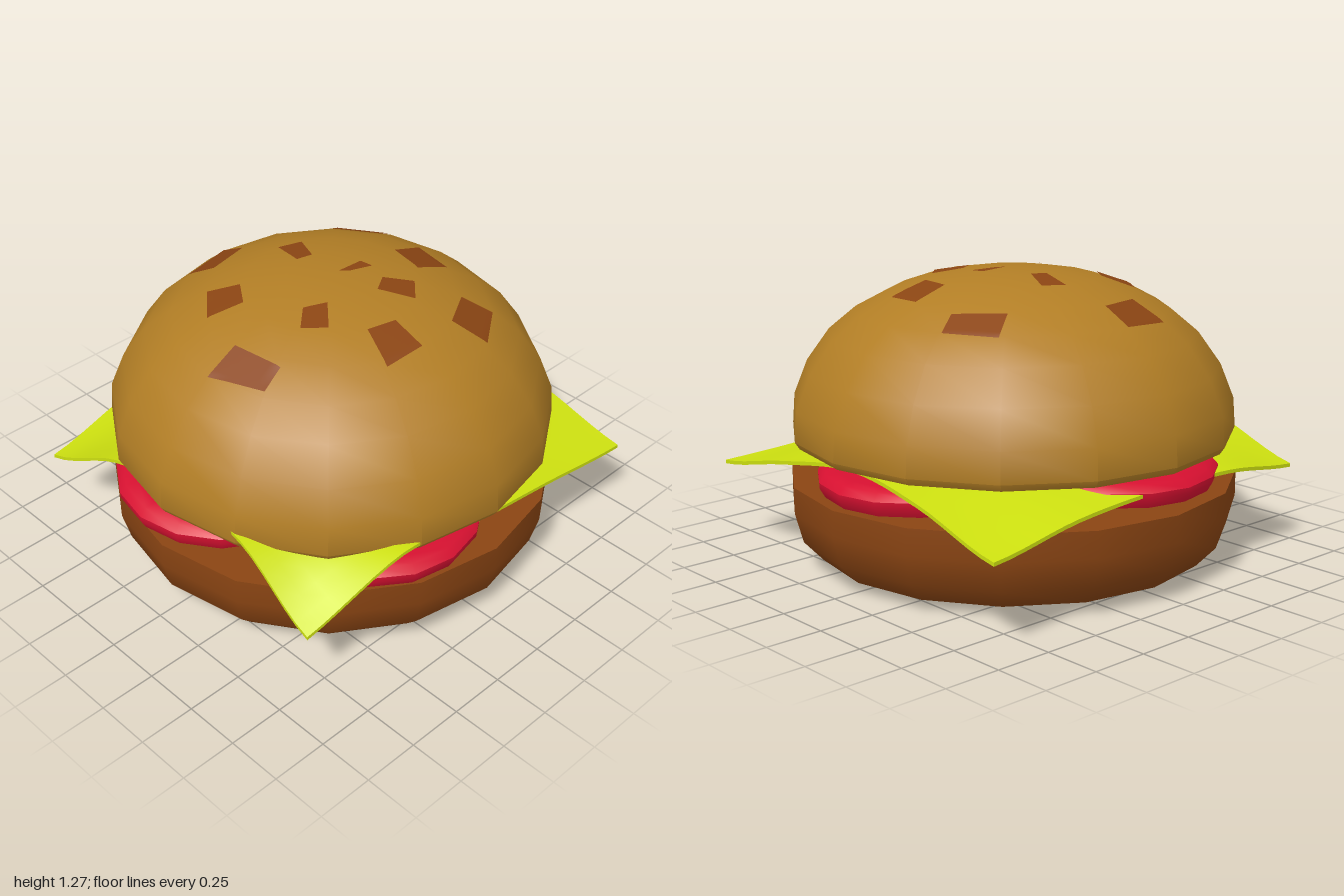
import * as THREE from 'three';
import { toCreasedNormals } from 'three/addons/utils/BufferGeometryUtils.js';

const SIDES = 16;
const CENTER_Z = -0.02;

const makeMaterial = (name, color) => {
  const m = new THREE.MeshStandardMaterial({ color });
  m.name = name;
  return m;
};

// Turned solid from [radius, y] pairs listed bottom to top
function turned(profile) {
  const points = profile.map(([r, y]) => new THREE.Vector2(r, y));
  return toCreasedNormals(new THREE.LatheGeometry(points, SIDES), 0.75);
}

const DOME = [
  [0.97, 0.57], [0.96, 0.7], [0.9, 0.85], [0.8, 0.99], [0.68, 1.09],
  [0.53, 1.17], [0.37, 1.225], [0.19, 1.255], [0, 1.265],
];

// Height of the faceted dome above a point (z measured from the bun's axis)
function domeHeight(x, z) {
  const step = (2 * Math.PI) / SIDES;
  const angle = Math.atan2(x, z) + 2 * Math.PI;
  const r = Math.hypot(x, z) * Math.cos((angle % step) - step / 2) / Math.cos(step / 2);
  for (let i = 0; i < DOME.length - 1; i++) {
    const [r0, y0] = DOME[i], [r1, y1] = DOME[i + 1];
    if (r >= r1) return y0 + ((r0 - r) / (r0 - r1)) * (y1 - y0);
  }
  return 1.265;
}

const mix = THREE.MathUtils.lerp;

// Patch corners seen from above: back left, back right, front right, front left (x, z)
const SEEDS = [
  [-0.47, -0.52, -0.27, -0.645, -0.22, -0.55, -0.4, -0.41],
  [0, -0.555, 0.19, -0.53, 0.165, -0.37, 0, -0.4],
  [0.39, -0.4, 0.49, -0.49, 0.62, -0.31, 0.49, -0.23],
  [0.15, -0.17, 0.24, -0.27, 0.33, -0.18, 0.2, -0.09],
  [0, -0.19, 0.06, -0.2, 0.03, -0.1, 0, -0.06],
  [-0.36, -0.05, -0.32, -0.15, -0.18, -0.08, -0.2, -0.01],
  [-0.68, -0.01, -0.55, -0.01, -0.51, 0.19, -0.65, 0.23],
  [0.35, 0.12, 0.38, -0.01, 0.53, -0.01, 0.52, 0.18],
  [0.08, 0.22, 0.13, 0.13, 0.24, 0.23, 0.16, 0.31],
  [-0.37, 0.35, -0.26, 0.26, -0.15, 0.34, -0.23, 0.47],
  [0, 0.52, 0.23, 0.485, 0.25, 0.59, 0, 0.67],
];

// Thin patch lying on the dome
function seedGeometry([ax, az, bx, bz, cx, cz, dx, dz]) {
  const geo = new THREE.PlaneGeometry(1, 1, 10, 10);
  const pos = geo.attributes.position;
  for (let i = 0; i < pos.count; i++) {
    const u = pos.getX(i) + 0.5, v = 0.5 - pos.getY(i);
    const x = mix(mix(ax, bx, u), mix(dx, cx, u), v);
    const z = mix(mix(az, bz, u), mix(dz, cz, u), v);
    pos.setXYZ(i, x, domeHeight(x, z - CENTER_Z) + 0.006, z);
  }
  geo.computeVertexNormals();
  return geo;
}

// Leaf heights: rows run back to front, columns right (-x) to left (+x)
const LEAF = [
  [0.37, 0.48, 0.53, 0.47, 0.38],
  [0.43, 0.51, 0.53, 0.51, 0.41],
  [0.45, 0.51, 0.53, 0.53, 0.46],
  [0.44, 0.52, 0.54, 0.56, 0.58],
  [0.37, 0.54, 0.6, 0.6, 0.37],
];

// Smooth curve through five evenly spaced values, t in 0..1
function through(values, t) {
  const s = t * 4, i = Math.min(3, Math.floor(s)), f = s - i;
  const at = (k) => values[THREE.MathUtils.clamp(k, 0, 4)];
  const m0 = (at(i + 1) - at(i - 1)) / 2, m1 = (at(i + 2) - at(i)) / 2;
  const f2 = f * f, f3 = f2 * f;
  return (2 * f3 - 3 * f2 + 1) * at(i) + (f3 - 2 * f2 + f) * m0
    + (3 * f2 - 2 * f3) * at(i + 1) + (f3 - f2) * m1;
}

// Square sheet with drooping corners
function leafGeometry() {
  const geo = new THREE.BoxGeometry(1, 0.016, 1, 24, 1, 24);
  const pos = geo.attributes.position;
  for (let i = 0; i < pos.count; i++) {
    const u = pos.getX(i) + 0.5, v = pos.getZ(i) + 0.5;
    const xRight = through([-0.92, -0.89, -0.87, -0.85, -0.8], v);
    const xLeft = through([0.91, 0.88, 0.87, 0.89, 0.81], v);
    const zBack = through([-0.95, -0.93, -0.91, -0.93, -0.92], u);
    const zFront = through([0.92, 0.87, 0.86, 0.88, 0.9], u);
    const y = through(LEAF.map((row) => through(row, u)), v);
    pos.setXYZ(i, mix(xRight, xLeft, u), y + pos.getY(i), mix(zBack, zFront, v));
  }
  return toCreasedNormals(geo, 0.9);
}

export function createModel() {
  const model = new THREE.Group();
  model.name = 'burger';
  const crust = makeMaterial('golden crust', 0xb27e25);
  const brown = makeMaterial('toasted brown', 0x8b4513);
  const red = makeMaterial('tomato red', 0xd61030);
  const green = makeMaterial('leaf green', 0xcde010);

  const add = (name, geometry, material, x = 0, y = 0, z = 0) => {
    const mesh = new THREE.Mesh(geometry, material);
    mesh.name = name;
    mesh.position.set(x, y, z);
    model.add(mesh);
    return mesh;
  };

  // Buns
  add('bottomBun', turned([
    [0, 0], [0.72, 0], [0.86, 0.04], [0.945, 0.13], [0.98, 0.26], [0.98, 0.375], [0, 0.375],
  ]), brown, 0, 0, CENTER_Z);
  add('topBun', turned([[0, 0.515], [0.6, 0.52], [0.95, 0.54], ...DOME]), crust, 0, 0, CENTER_Z);

  // Toasted patches on the crown
  SEEDS.forEach((corners, i) => add(`seed${i + 1}`, seedGeometry(corners), brown));

  // Leaf
  add('lettuce', leafGeometry(), green);

  // Tomato slices: x, y, z, tilt about x, tilt about z
  const slice = turned([
    [0, -0.06], [0.4, -0.06], [0.46, -0.04], [0.48, 0], [0.48, 0.025], [0.45, 0.055], [0.4, 0.06], [0, 0.06],
  ]);
  [
    ['frontTomato', -0.09, 0.475, 0.51, 0.02, 0],
    ['leftTomato', 0.47, 0.46, 0.22, 0, -0.06],
    ['backTomato', -0.02, 0.45, -0.5, -0.07, 0],
    ['rightTomato', -0.45, 0.455, 0.1, 0, 0.05],
  ].forEach(([name, x, y, z, rx, rz]) => {
    add(name, slice, red, x, y, z).rotation.set(rx, 0, rz);
  });

  return model;
}
